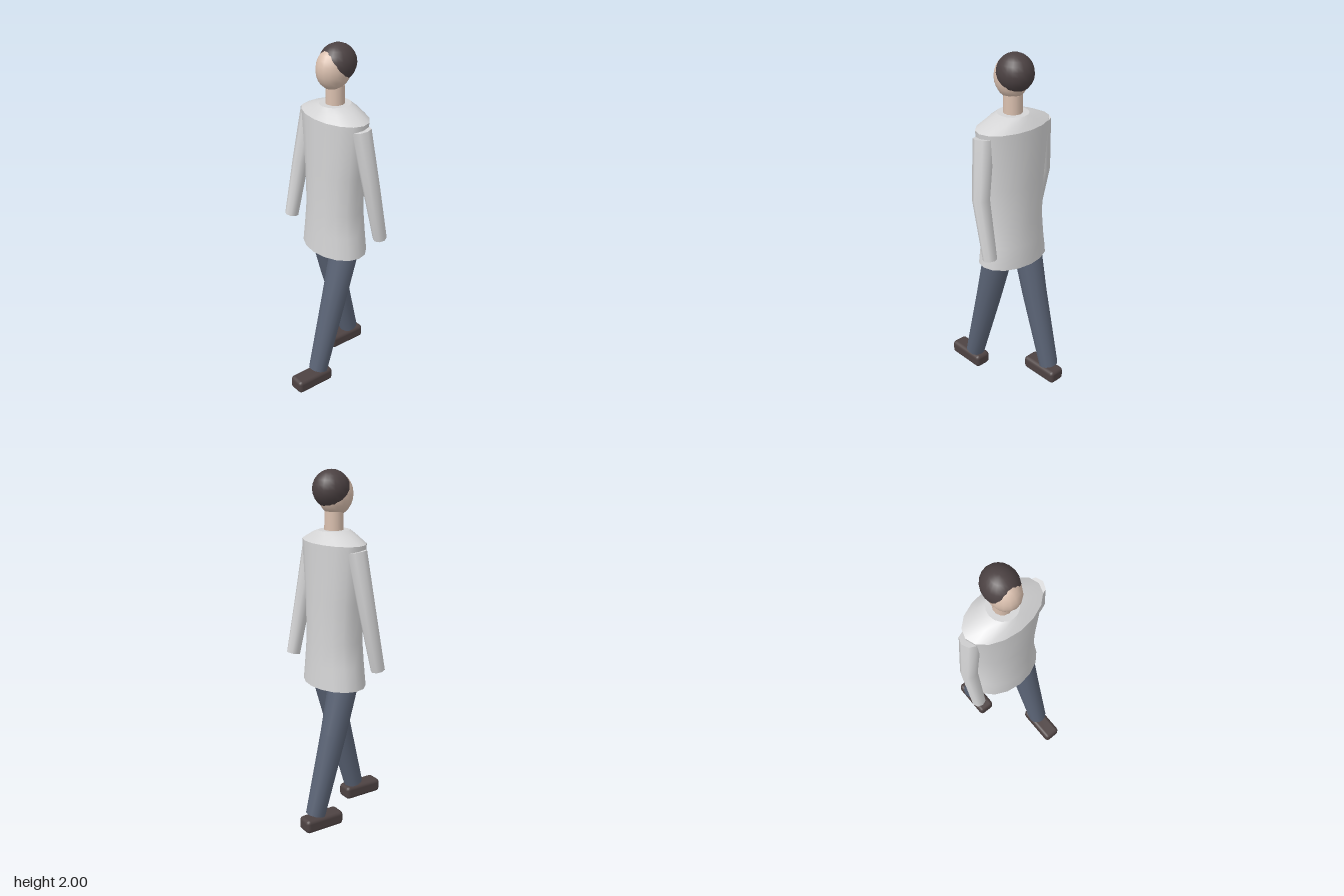
import * as THREE from 'three';
import { RoundedBoxGeometry } from 'three/addons/geometries/RoundedBoxGeometry.js';

const material = (name, color) => {
  const m = new THREE.MeshStandardMaterial({ color });
  m.name = name;
  return m;
};

// Skin over a list of rings { c: centre, rx, rz, tilt }, closed with flat caps.
function loft(rings, sides) {
  const pos = [], index = [];
  const addRing = ({ c, rx, rz, q }) => {
    const start = pos.length / 3;
    for (let i = 0; i < sides; i++) {
      const a = (i / sides) * Math.PI * 2;
      const v = new THREE.Vector3(Math.sin(a) * rx, 0, Math.cos(a) * rz);
      if (q) v.applyQuaternion(q);
      v.add(c);
      pos.push(v.x, v.y, v.z);
    }
    return start;
  };
  // Walls, from the lowest ring to the highest
  const starts = rings.map(addRing);
  for (let r = 0; r < rings.length - 1; r++) {
    for (let i = 0; i < sides; i++) {
      const j = (i + 1) % sides;
      const a = starts[r] + i, b = starts[r] + j, c = starts[r + 1] + j, d = starts[r + 1] + i;
      index.push(a, b, c, a, c, d);
    }
  }
  // Caps with their own vertices, so the rims stay sharp
  const low = addRing(rings[0]), high = addRing(rings[rings.length - 1]);
  for (let i = 1; i < sides - 1; i++) {
    index.push(low, low + i + 1, low + i, high, high + i, high + i + 1);
  }
  const g = new THREE.BufferGeometry();
  g.setAttribute('position', new THREE.Float32BufferAttribute(pos, 3));
  g.setIndex(index);
  g.computeVertexNormals();
  return g;
}

// Limb through points [x, y, z, radius], listed from bottom to top
function limb(points, sides) {
  const up = new THREE.Vector3(0, 1, 0);
  const centres = points.map(([x, y, z]) => new THREE.Vector3(x, y, z));
  return loft(points.map((p, i) => {
    const from = centres[Math.max(i - 1, 0)];
    const to = centres[Math.min(i + 1, points.length - 1)];
    const dir = to.clone().sub(from).normalize();
    return { c: centres[i], rx: p[3], rz: p[3], q: new THREE.Quaternion().setFromUnitVectors(up, dir) };
  }), sides);
}

export function createModel() {
  const coat = material('coat grey', 0xd4d4d5);
  const trousers = material('trouser blue', 0x5a6375);
  const skin = material('skin', 0xd9bfae);
  const hair = material('hair brown', 0x4b4142);
  const leather = material('shoe brown', 0x4d4242);

  const model = new THREE.Group();
  model.name = 'walkingMan';
  const add = (name, geometry, mat, x = 0, y = 0, z = 0) => {
    const mesh = new THREE.Mesh(geometry, mat);
    mesh.name = name;
    mesh.position.set(x, y, z);
    model.add(mesh);
    return mesh;
  };

  // Coat body and sloping shoulders, elliptical rings [y, rx, rz]
  const midZ = -0.047;
  const ellipses = (list) => loft(list.map(([y, rx, rz]) => (
    { c: new THREE.Vector3(0, y, midZ), rx, rz })), 16);
  add('coatBody', ellipses([
    [0.82, 0.219, 0.152], [0.95, 0.2, 0.146], [1.08, 0.186, 0.14],
    [1.3, 0.198, 0.138], [1.59, 0.231, 0.14], [1.62, 0.235, 0.14],
  ]), coat);
  add('coatShoulders', ellipses([[1.62, 0.235, 0.14], [1.66, 0.15, 0.108], [1.68, 0.085, 0.088]]), coat);

  // Neck and head
  add('neck', new THREE.CylinderGeometry(0.051, 0.053, 0.13, 14), skin, 0, 1.715, midZ);
  const head = new THREE.SphereGeometry(1, 16, 12);
  head.scale(0.085, 0.113, 0.1);
  add('head', head, skin, 0, 1.868, -0.035);
  const cap = new THREE.SphereGeometry(1, 20, 12);
  cap.scale(0.096, 0.103, 0.105);
  add('hair', cap, hair, 0, 1.897, -0.063);

  // Arms swing opposite to the legs
  for (const [side, s] of [['left', 1], ['right', -1]]) {
    const swing = (z) => midZ + s * z;
    add(side + 'Arm', limb([
      [s * 0.267, 0.938, swing(-0.108), 0.039],
      [s * 0.263, 1.27, swing(-0.038), 0.047],
      [s * 0.21, 1.59, swing(-0.003), 0.056],
    ], 8), coat);
    add(side + 'Shoe', new RoundedBoxGeometry(0.1, 0.08, 0.242, 2, 0.022), leather,
      s * 0.11, 0.04, s * 0.21);
  }

  // Legs in mid stride
  add('leftLeg', limb([
    [0.112, 0.09, 0.163, 0.056], [0.107, 0.55, 0.038, 0.073], [0.104, 0.95, -0.065, 0.088],
  ], 12), trousers);
  add('rightLeg', limb([
    [-0.112, 0.09, -0.25, 0.056], [-0.107, 0.55, -0.125, 0.073], [-0.104, 0.95, -0.03, 0.088],
  ], 12), trousers);

  return model;
}
